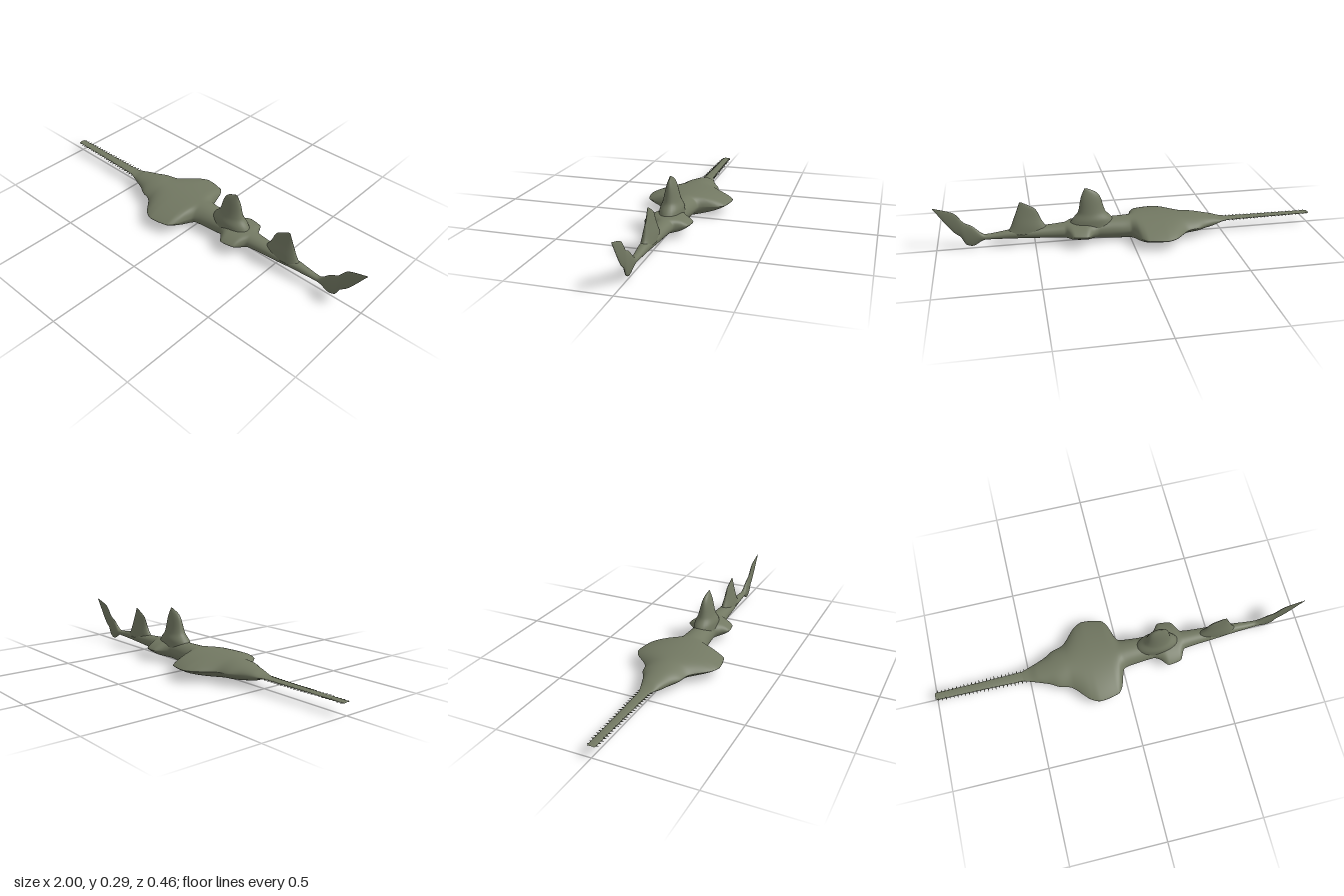
import * as THREE from 'three';
import { mergeGeometries } from 'three/addons/utils/BufferGeometryUtils.js';

// Smooth outline through [position, value] points, without overshoot
function outline(points) {
  const gap = i => (points[i + 1][1] - points[i][1]) / (points[i + 1][0] - points[i][0]);
  const last = points.length - 1;
  const slope = points.map((_, i) => {
    if (i === 0) return gap(0);
    if (i === last) return gap(last - 1);
    const a = gap(i - 1), b = gap(i);
    return a * b > 0 ? 2 * a * b / (a + b) : 0;
  });
  return x => {
    let i = 0;
    while (i < last - 1 && x > points[i + 1][0]) i++;
    const [x0, y0] = points[i], [x1, y1] = points[i + 1], d = x1 - x0, t = (x - x0) / d, u = 1 - t;
    return y0 * (1 + 2 * t) * u * u + slope[i] * d * t * u * u
      + y1 * t * t * (3 - 2 * t) - slope[i + 1] * d * t * t * u;
  };
}

// Smooth closed skin through a list of rings with equal numbers of points
function loft(rings) {
  const n = rings[0].length, pos = [], index = [];
  rings.forEach(r => r.forEach(p => pos.push(p.x, p.y, p.z)));
  for (let i = 0; i < rings.length - 1; i++) {
    for (let j = 0; j < n; j++) {
      const k = (j + 1) % n;
      const a = i * n + j, b = a + n, c = (i + 1) * n + k, d = i * n + k;
      index.push(a, b, c, a, c, d);
    }
  }
  // End caps
  [0, rings.length - 1].forEach((r, end) => {
    const mid = new THREE.Vector3();
    rings[r].forEach(p => mid.addScaledVector(p, 1 / n));
    const m = pos.length / 3;
    pos.push(mid.x, mid.y, mid.z);
    for (let j = 0; j < n; j++) {
      const a = r * n + j, b = r * n + (j + 1) % n;
      if (end) index.push(m, a, b); else index.push(m, b, a);
    }
  });
  const g = new THREE.BufferGeometry();
  g.setAttribute('position', new THREE.Float32BufferAttribute(pos, 3));
  g.setIndex(index);
  g.computeVertexNormals();
  return g;
}

const ring = (n, point) => Array.from({ length: n }, (_, j) => point(j / n * Math.PI * 2));

// Cross-section facing along x: an ellipse where narrow, a sharp-edged lens where wide
function section(x, top, bottom, w) {
  const c = (top + bottom) / 2, h = (top - bottom) / 2;
  const power = THREE.MathUtils.clamp(1 + (w - 0.06) * 10, 1, 1.7);
  return ring(48, t => {
    const s = Math.sin(t);
    return new THREE.Vector3(x, c + h * Math.sign(s) * Math.abs(s) ** power, w * Math.cos(t));
  });
}

// Upright fin: height outlines of its front edge, rear edge and half thickness
function fin(base, tip, front, rear, thickness) {
  const f = outline(front), r = outline(rear), th = outline(thickness), steps = 32;
  return loft(Array.from({ length: steps + 1 }, (_, i) => {
    const y = base + (tip - base) * i / steps;
    const mid = (f(y) + r(y)) / 2, half = (r(y) - f(y)) / 2;
    return ring(28, t => new THREE.Vector3(mid + half * Math.cos(t), y, th(y) * Math.sin(t)));
  }));
}

export function createModel() {
  const model = new THREE.Group();
  const skin = new THREE.MeshStandardMaterial({ color: 0x727862 });
  skin.name = 'olive grey skin';
  const add = (name, geometry) => {
    const mesh = new THREE.Mesh(geometry, skin);
    mesh.name = name;
    model.add(mesh);
  };

  // Body, side fins and tail in one skin
  const top = outline([
    [-0.54, 0.068], [-0.5, 0.073], [-0.45, 0.088], [-0.3, 0.111], [0, 0.119], [0.17, 0.116],
    [0.42, 0.1], [0.62, 0.09], [0.75, 0.075], [0.82, 0.13], [0.85, 0.145], [0.9, 0.203], [1, 0.237],
  ]);
  const bottom = outline([
    [-0.54, 0.057], [-0.5, 0.052], [-0.45, 0.035], [-0.3, 0.013], [0, 0.004], [0.1, 0.006],
    [0.2, 0.017], [0.62, 0.043], [0.75, 0.047], [0.82, 0.016], [0.85, 0.026], [0.875, 0.072],
    [0.9, 0.092], [1, 0.233],
  ]);
  const width = outline([
    [-0.54, 0.024], [-0.45, 0.055], [-0.4, 0.075], [-0.35, 0.104], [-0.3, 0.118], [-0.2, 0.214],
    [-0.16, 0.23], [-0.06, 0.213], [-0.035, 0.185], [0.005, 0.082], [0.05, 0.072], [0.17, 0.063],
    [0.2, 0.08], [0.24, 0.122], [0.305, 0.112], [0.345, 0.05], [0.52, 0.035], [0.75, 0.016], [1, 0.001],
  ]);
  const steps = 220;
  add('body', loft(Array.from({ length: steps + 1 }, (_, i) => {
    const x = -0.54 + 1.54 * i / steps;
    return section(x, top(x), bottom(x), width(x));
  })));

  // Dorsal fins
  add('frontDorsalFin', fin(0.07, 0.29,
    [[0.07, 0.07], [0.12, 0.095], [0.16, 0.13], [0.24, 0.156], [0.265, 0.175], [0.29, 0.226]],
    [[0.07, 0.335], [0.12, 0.305], [0.16, 0.273], [0.24, 0.256], [0.29, 0.236]],
    [[0.07, 0.06], [0.12, 0.057], [0.16, 0.043], [0.24, 0.023], [0.265, 0.014], [0.29, 0.001]]));
  add('rearDorsalFin', fin(0.07, 0.238,
    [[0.07, 0.42], [0.13, 0.461], [0.195, 0.491], [0.213, 0.517], [0.238, 0.562]],
    [[0.07, 0.65], [0.1, 0.625], [0.16, 0.6], [0.238, 0.57]],
    [[0.07, 0.033], [0.1, 0.029], [0.16, 0.016], [0.238, 0.001]]));

  // Flat snout blade
  add('sawBlade', loft([
    section(-1, 0.065, 0.06, 0.017), section(-0.99, 0.067, 0.058, 0.02),
    section(-0.75, 0.068, 0.057, 0.022), section(-0.45, 0.069, 0.056, 0.029),
  ]));

  // Teeth along both edges of the blade
  const teeth = [], count = 24;
  for (let i = 0; i < count; i++) {
    const f = i / (count - 1), x = -0.985 + f * 0.465;
    const inner = 0.016 + f * 0.008, outer = 0.031 + f * 0.013;
    for (const side of [1, -1]) {
      const tooth = new THREE.ConeGeometry(0.004, outer - inner, 6);
      tooth.rotateX(side * Math.PI / 2);
      tooth.translate(x, 0.0625, side * (inner + outer) / 2);
      teeth.push(tooth);
    }
  }
  add('sawTeeth', mergeGeometries(teeth));
  return model;
}
